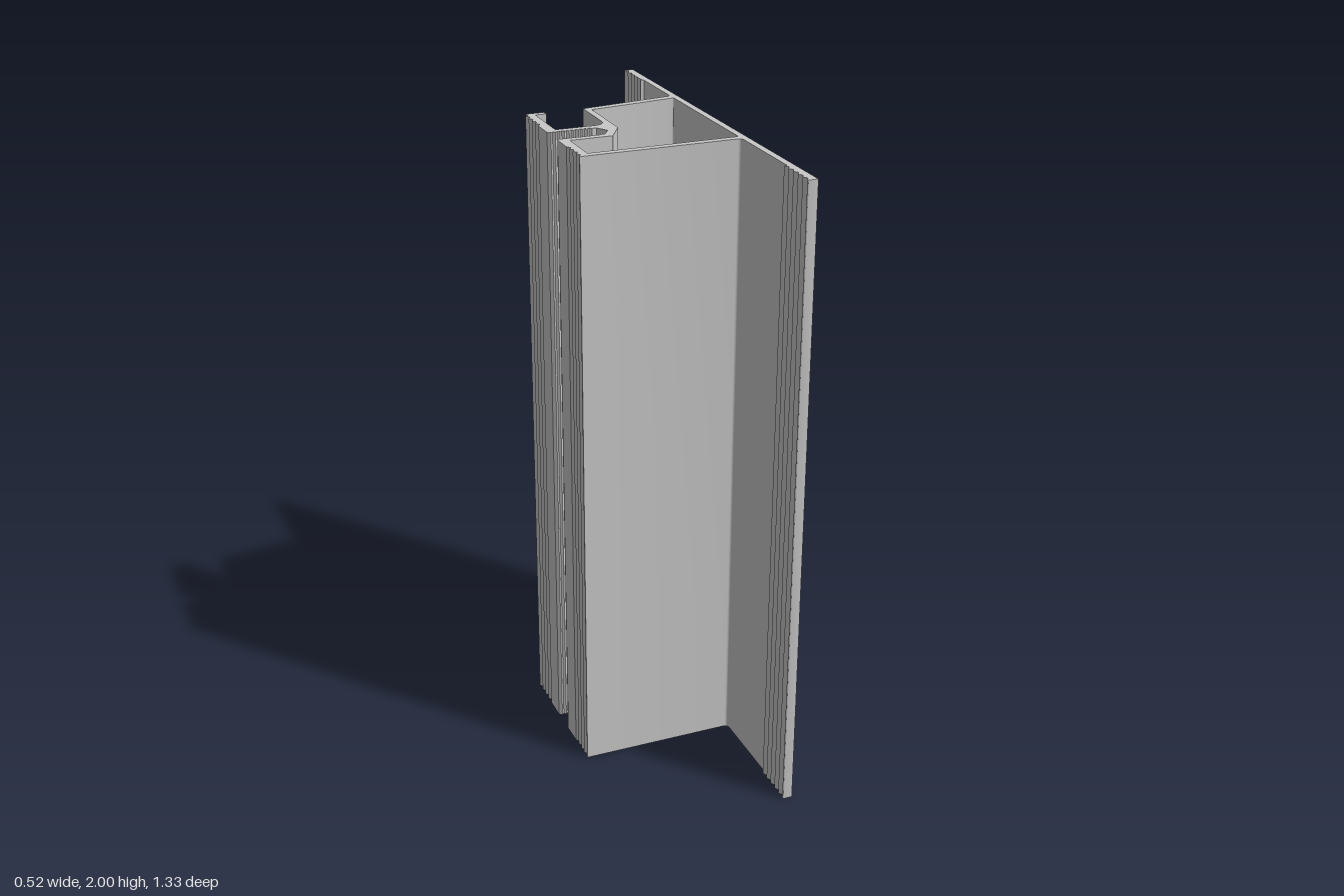
import * as THREE from 'three';
import { toCreasedNormals } from 'three/addons/utils/BufferGeometryUtils.js';

const HEIGHT = 2;

// Profile is drawn in plan as (x, z); the shape's y is -z so it can be stood upright.
function pen(path) {
  let cx = 0, cz = 0;
  const p = {
    move(x, z) { path.moveTo(x, -z); cx = x; cz = z; return p; },
    line(...pts) {
      for (const [x, z] of pts) { path.lineTo(x, -z); cx = x; cz = z; }
      return p;
    },
    // rounded corner around (kx, kz)
    fillet(kx, kz, x, z) { path.quadraticCurveTo(kx, -kz, x, -z); cx = x; cz = z; return p; },
    // zigzag of V grooves from the current point to (x, z), cut by (dx, dz)
    grooves(x, z, n, dx, dz) {
      const sx = cx, sz = cz;
      for (let i = 0; i < n; i++) {
        const at = (t) => [sx + (x - sx) * (i + t) / n, sz + (z - sz) * (i + t) / n];
        const [mx, mz] = at(0.5);
        p.line([mx + dx, mz + dz], at(1));
      }
      return p;
    },
  };
  return p;
}

function createProfile() {
  const shape = new THREE.Shape();
  pen(shape)
    // face plate and its front grooved edge
    .move(0.259, -0.665).line([0.259, 0.665], [0.233, 0.665])
    .fillet(0.228, 0.665, 0.228, 0.66)
    .grooves(0.228, 0.52, 5, 0.009, 0)
    .line([0.238, 0.518], [0.238, 0.243])
    .fillet(0.238, 0.227, 0.222, 0.227)
    // front web and front grooved jaw
    .line([-0.259, 0.227], [-0.259, 0.222])
    .grooves(-0.259, 0.12, 4, 0.01, 0)
    .line([-0.259, 0.045], [-0.25, 0.034])
    .grooves(-0.123, 0.034, 9, 0, 0.006)
    // slot end
    .line([-0.109, 0.034], [-0.088, 0], [-0.109, -0.036], [-0.123, -0.036])
    .grooves(-0.25, -0.036, 9, 0, -0.006)
    // back grooved jaw with hooked lip
    .line([-0.259, -0.045], [-0.259, -0.12])
    .grooves(-0.259, -0.238, 4, 0.01, 0)
    .line([-0.25, -0.24], [-0.25, -0.261], [-0.192, -0.261], [-0.192, -0.24],
      [-0.227, -0.24], [-0.227, -0.073])
    .fillet(-0.227, -0.063, -0.217, -0.063)
    .line([-0.108, -0.063])
    .fillet(-0.068, -0.063, -0.068, -0.103)
    // sloping back web
    .line([-0.068, -0.257], [0.224, -0.298])
    .fillet(0.238, -0.3, 0.238, -0.313)
    // back grooved edge of the plate
    .line([0.238, -0.518], [0.228, -0.52])
    .grooves(0.228, -0.66, 5, 0.009, 0)
    .fillet(0.228, -0.665, 0.233, -0.665)
    .line([0.259, -0.665]);

  // enclosed chamber, wound opposite to the outline so its walls face inwards
  const chamber = new THREE.Path();
  pen(chamber)
    .move(0.238, -0.266)
    .fillet(0.238, -0.273, 0.231, -0.272)
    .line([-0.048, -0.235], [-0.048, -0.018], [-0.095, 0.061], [-0.227, 0.061],
      [-0.227, 0.203], [0.231, 0.203])
    .fillet(0.238, 0.203, 0.238, 0.196)
    .line([0.238, -0.266]);
  shape.holes.push(chamber);
  return shape;
}

export function createModel() {
  const group = new THREE.Group();
  group.name = 'extrudedProfile';

  const aluminium = new THREE.MeshStandardMaterial({ color: 0xc8c8c8 });
  aluminium.name = 'aluminium grey';

  const geometry = new THREE.ExtrudeGeometry(createProfile(), {
    depth: HEIGHT, bevelEnabled: false, curveSegments: 6,
  });
  geometry.rotateX(-Math.PI / 2);

  const rail = new THREE.Mesh(toCreasedNormals(geometry, 0.45), aluminium);
  rail.name = 'rail';
  group.add(rail);
  return group;
}
